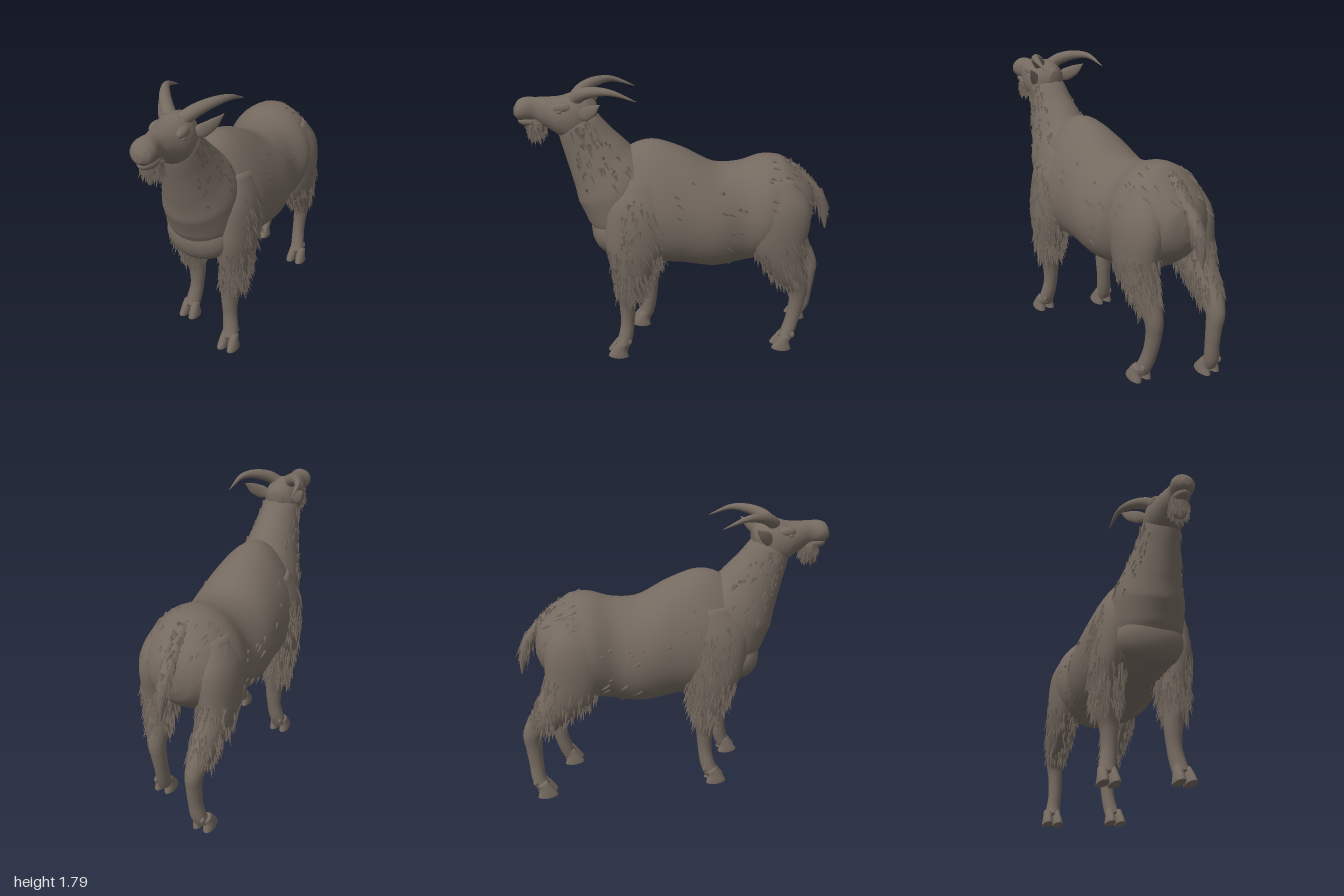
import * as THREE from 'three';
import { mergeGeometries } from 'three/addons/utils/BufferGeometryUtils.js';

const X = new THREE.Vector3(1, 0, 0);
const Y = new THREE.Vector3(0, 1, 0);
const Z = new THREE.Vector3(0, 0, 1);
const vec = (x, y, z) => new THREE.Vector3(x, y, z);

// Small seeded generator for the fur
let seed = 7;
const rand = (a = 0, b = 1) => {
  seed = (seed * 16807) % 2147483647;
  return a + (b - a) * (seed / 2147483647);
};

// Smooth tube through rows of [x, y, z, half width, half depth, taper].
// Rings follow the path, or all face along "facing" if it is given.
// Gives its geometry and a function that finds points on its skin.
function loft(rows, { steps = 32, sides = 24, ref = X, facing } = {}) {
  const path = new THREE.CatmullRomCurve3(rows.map(r => vec(r[0], r[1], r[2])));
  const size = new THREE.CatmullRomCurve3(rows.map(r => vec(r[3], r[4], r[5] || 0)));
  const at = (u, a) => {
    const centre = path.getPoint(u), s = size.getPoint(u);
    const t = facing || path.getTangent(u);
    const side = ref.clone().addScaledVector(t, -t.dot(ref)).normalize();
    const up = t.clone().cross(side);
    const p = centre.clone()
      .addScaledVector(side, Math.cos(a) * s.x * (1 - s.z * Math.sin(a)))
      .addScaledVector(up, Math.sin(a) * s.y);
    p.y = Math.max(0, p.y);
    return { p, out: p.clone().sub(centre).normalize(), centre };
  };
  const pos = [], index = [];
  for (let i = 0; i <= steps; i++)
    for (let j = 0; j < sides; j++) pos.push(...at(i / steps, j / sides * Math.PI * 2).p.toArray());
  for (let i = 0; i < steps; i++)
    for (let j = 0; j < sides; j++) {
      const k = (j + 1) % sides, a = i * sides, b = a + sides;
      index.push(a + j, a + k, b + k, a + j, b + k, b + j);
    }
  const first = pos.length / 3, last = steps * sides;
  pos.push(...at(0, 0).centre.toArray(), ...at(1, 0).centre.toArray());
  for (let j = 0; j < sides; j++) {
    const k = (j + 1) % sides;
    index.push(first, k, j, first + 1, last + j, last + k);
  }
  const geometry = new THREE.BufferGeometry();
  geometry.setAttribute('position', new THREE.Float32BufferAttribute(pos, 3));
  geometry.setIndex(index);
  geometry.computeVertexNormals();
  return { geometry, at };
}

// Pointed tufts scattered over part of a loft
function fur(at, n, [u0, u1], [a0, a1], length, flow, lift, radius = 0.01) {
  const tufts = [];
  for (let i = 0; i < n; i++) {
    const { p, out } = at(rand(u0, u1), rand(a0, a1));
    const dir = flow.clone().normalize().addScaledVector(out, lift)
      .add(vec(rand(-0.2, 0.2), rand(-0.15, 0.15), rand(-0.2, 0.2))).normalize();
    const len = length * rand(0.6, 1.2);
    const cone = new THREE.ConeGeometry(radius * rand(0.6, 1.2), len, 4, 1, true);
    cone.translate(0, len * 0.35, 0);
    cone.applyQuaternion(new THREE.Quaternion().setFromUnitVectors(Y, dir));
    cone.translate(p.x, p.y, p.z);
    tufts.push(cone);
  }
  return mergeGeometries(tufts);
}

export function createModel() {
  seed = 7;
  const group = new THREE.Group();
  const coat = new THREE.MeshStandardMaterial({ color: 0x756a60 });
  coat.name = 'greyBrownCoat';
  const add = (name, geometry) => {
    const mesh = new THREE.Mesh(geometry, coat);
    mesh.name = name;
    group.add(mesh);
    return mesh;
  };
  const ball = (name, x, y, z, sx, sy, sz) => {
    const mesh = add(name, new THREE.SphereGeometry(1, 24, 16));
    mesh.position.set(x, y, z);
    mesh.scale.set(sx, sy, sz);
  };
  const TAU = Math.PI * 2;

  // Torso, from rump to chest
  const torso = loft([
    [0, 0.97, -0.865, 0.05, 0.06], [0, 0.975, -0.835, 0.14, 0.14], [0, 0.975, -0.76, 0.225, 0.22],
    [0, 0.982, -0.64, 0.285, 0.312, 0.08], [0, 0.963, -0.52, 0.302, 0.338, 0.06],
    [0, 0.928, -0.38, 0.27, 0.335, 0.06], [0, 0.915, -0.22, 0.298, 0.345, 0.06],
    [0, 0.985, 0, 0.29, 0.385, 0.14], [0, 1.022, 0.2, 0.278, 0.4, 0.25],
    [0, 1, 0.35, 0.25, 0.36, 0.28], [0, 0.93, 0.45, 0.2, 0.25, 0.2],
    [0, 0.9, 0.52, 0.13, 0.17], [0, 0.88, 0.55, 0.05, 0.08],
  ], { steps: 64, sides: 40, facing: Z });
  add('torso', torso.geometry);
  ball('brisket', 0, 0.845, 0.425, 0.215, 0.17, 0.145);
  const sheath = add('bellyTuft', new THREE.ConeGeometry(0.06, 0.08, 12));
  sheath.rotation.x = Math.PI;
  sheath.position.set(0, 0.575, -0.33);

  // Neck, running down into the breast
  const neck = loft([
    [0, 0.76, 0.34, 0.18, 0.18], [0, 0.95, 0.355, 0.23, 0.238], [0, 1.13, 0.405, 0.225, 0.255],
    [0, 1.29, 0.492, 0.172, 0.208], [0, 1.42, 0.565, 0.138, 0.165],
    [0, 1.53, 0.62, 0.12, 0.135], [0, 1.62, 0.66, 0.08, 0.09],
  ], { steps: 48, sides: 32 });
  add('neck', neck.geometry);

  // Head, chin and face
  const head = loft([
    [0, 1.61, 0.505, 0.04, 0.05], [0, 1.59, 0.56, 0.095, 0.115], [0, 1.575, 0.64, 0.117, 0.152],
    [0, 1.58, 0.72, 0.114, 0.125], [0, 1.605, 0.8, 0.086, 0.095], [0, 1.623, 0.87, 0.062, 0.077],
    [0, 1.63, 0.93, 0.073, 0.07], [0, 1.625, 0.97, 0.064, 0.06], [0, 1.615, 0.998, 0.025, 0.025],
  ], { steps: 48, facing: Z });
  add('head', head.geometry);
  ball('lowerJaw', 0, 1.56, 0.89, 0.055, 0.038, 0.09);

  // Beard
  const beard = loft([
    [0, 1.56, 0.87, 0.055, 0.065], [0, 1.51, 0.875, 0.06, 0.055],
    [0, 1.46, 0.89, 0.04, 0.035], [0, 1.42, 0.905, 0.008, 0.008],
  ], { steps: 12, sides: 14 });
  add('beard', beard.geometry);
  add('beardFur', fur(beard.at, 110, [0.1, 0.65], [0, TAU], 0.06, vec(0, -1, 0), 0.15));

  // Tail, starting as a ridge on the rump
  const tail = loft([
    [0, 1.25, -0.58, 0.03, 0.055], [0, 1.2, -0.7, 0.045, 0.055], [0, 1.11, -0.81, 0.045, 0.045],
    [0, 1.01, -0.9, 0.04, 0.04], [0, 0.9, -0.945, 0.028, 0.03], [0, 0.78, -0.965, 0.005, 0.005],
  ], { sides: 14 });
  add('tail', tail.geometry);
  add('tailFur', fur(tail.at, 100, [0.1, 0.8], [0, TAU], 0.1, vec(0, -1, -0.3), 0.1, 0.009));

  for (const s of [1, -1]) {
    const label = s > 0 ? 'left' : 'right';

    // Swept horns, ears and brows
    add(label + 'Horn', loft([
      [s * 0.035, 1.685, 0.635, 0.04, 0.04], [s * 0.085, 1.727, 0.59, 0.038, 0.038],
      [s * 0.145, 1.757, 0.51, 0.03, 0.03], [s * 0.195, 1.76, 0.41, 0.018, 0.018],
      [s * 0.212, 1.71, 0.27, 0.002, 0.002],
    ], { sides: 16, ref: Y }).geometry);
    add(label + 'Ear', loft([
      [s * 0.08, 1.605, 0.6, 0.022, 0.018], [s * 0.125, 1.62, 0.575, 0.042, 0.016],
      [s * 0.17, 1.652, 0.53, 0.034, 0.012], [s * 0.205, 1.695, 0.48, 0.002, 0.002],
    ], { steps: 16, sides: 12, ref: Y }).geometry);
    ball(label + 'Brow', s * 0.08, 1.65, 0.7, 0.03, 0.032, 0.06);
    ball(label + 'Eye', s * 0.097, 1.63, 0.72, 0.014, 0.014, 0.02);
    ball(label + 'Nostril', s * 0.033, 1.65, 0.95, 0.025, 0.026, 0.034);

    // Front leg; the left one steps ahead
    const f = s > 0 ? 0.165 : 0;
    const front = loft([
      [s * 0.135, 1.2, 0.21, 0.085, 0.14], [s * 0.18, 1, 0.23 + f * 0.1, 0.112, 0.22],
      [s * 0.2, 0.8, 0.23 + f * 0.4, 0.106, 0.19], [s * 0.193, 0.62, 0.205 + f * 0.7, 0.098, 0.13],
      [s * 0.187, 0.48, 0.195 + f * 0.9, 0.08, 0.088], [s * 0.17, 0.36, 0.19 + f, 0.058, 0.055],
      [s * 0.172, 0.22, 0.195 + f, 0.047, 0.045], [s * 0.185, 0.13, 0.21 + f, 0.05, 0.047],
      [s * 0.195, 0.06, 0.235 + f, 0.052, 0.045],
    ], { steps: 44 });
    add(label + 'FrontLeg', front.geometry);
    add(label + 'FrontLegFur', fur(front.at, 300, [0.28, 0.53], [0, TAU], 0.1, vec(0, -1, -0.15), 0.15, 0.011));

    // Hind leg; the right one trails behind
    const h = s > 0 ? 0 : -0.185;
    const hind = loft([
      [s * 0.13, 1.17, -0.58, 0.09, 0.12], [s * 0.185, 0.97, -0.61, 0.122, 0.2],
      [s * 0.2, 0.77, -0.62 + h * 0.2, 0.108, 0.175], [s * 0.19, 0.59, -0.685 + h * 0.55, 0.085, 0.118],
      [s * 0.175, 0.44, -0.765 + h * 0.8, 0.056, 0.065], [s * 0.168, 0.34, -0.765 + h * 0.82, 0.047, 0.052],
      [s * 0.17, 0.21, -0.742 + h * 0.9, 0.044, 0.046], [s * 0.18, 0.12, -0.715 + h, 0.048, 0.046],
      [s * 0.19, 0.06, -0.69 + h, 0.05, 0.045],
    ], { steps: 44 });
    add(label + 'HindLeg', hind.geometry);
    add(label + 'HindLegFur', fur(hind.at, 230, [0.24, 0.45], [0, TAU], 0.085, vec(0, -1, -0.25), 0.14));

    // Cloven hooves with dewclaws
    for (const [name, z] of [['Front', 0.235 + f], ['Hind', -0.69 + h]]) {
      for (const side of [1, -1]) {
        const x = s * 0.195 + side * 0.032;
        add(label + name + 'Hoof', loft([
          [x, 0.1, z - 0.005, 0.024, 0.03], [x, 0.055, z + 0.015, 0.031, 0.045],
          [x + side * 0.004, 0.012, z + 0.025, 0.033, 0.065], [x + side * 0.004, 0, z + 0.027, 0.033, 0.068],
        ], { steps: 12, sides: 14 }).geometry);
        ball(label + name + 'Dewclaw', x - side * 0.006, 0.1, z - 0.045, 0.014, 0.022, 0.018);
      }
    }

    // Sparse tufts on neck, shoulder, flank and rump
    const mid = s > 0 ? 0 : Math.PI;
    const arc = [mid - 0.7, mid + 0.7];
    add(label + 'NeckFur', fur(neck.at, 45, [0.35, 0.85], arc, 0.08, vec(0, -1, -0.45), 0.12));
    add(label + 'ShoulderFur', fur(front.at, 60, [0.08, 0.27], arc, 0.08, vec(0, -1, -0.2), 0.3));
    add(label + 'FlankFur', fur(torso.at, 16, [0.35, 0.66], arc, 0.06, vec(0, -0.6, -1), 0.05));
    add(label + 'RumpFur', fur(torso.at, 25, [0.12, 0.32], [mid, mid + s * 1.3], 0.07, vec(0, -0.5, -1), 0.1));
  }
  return group;
}
